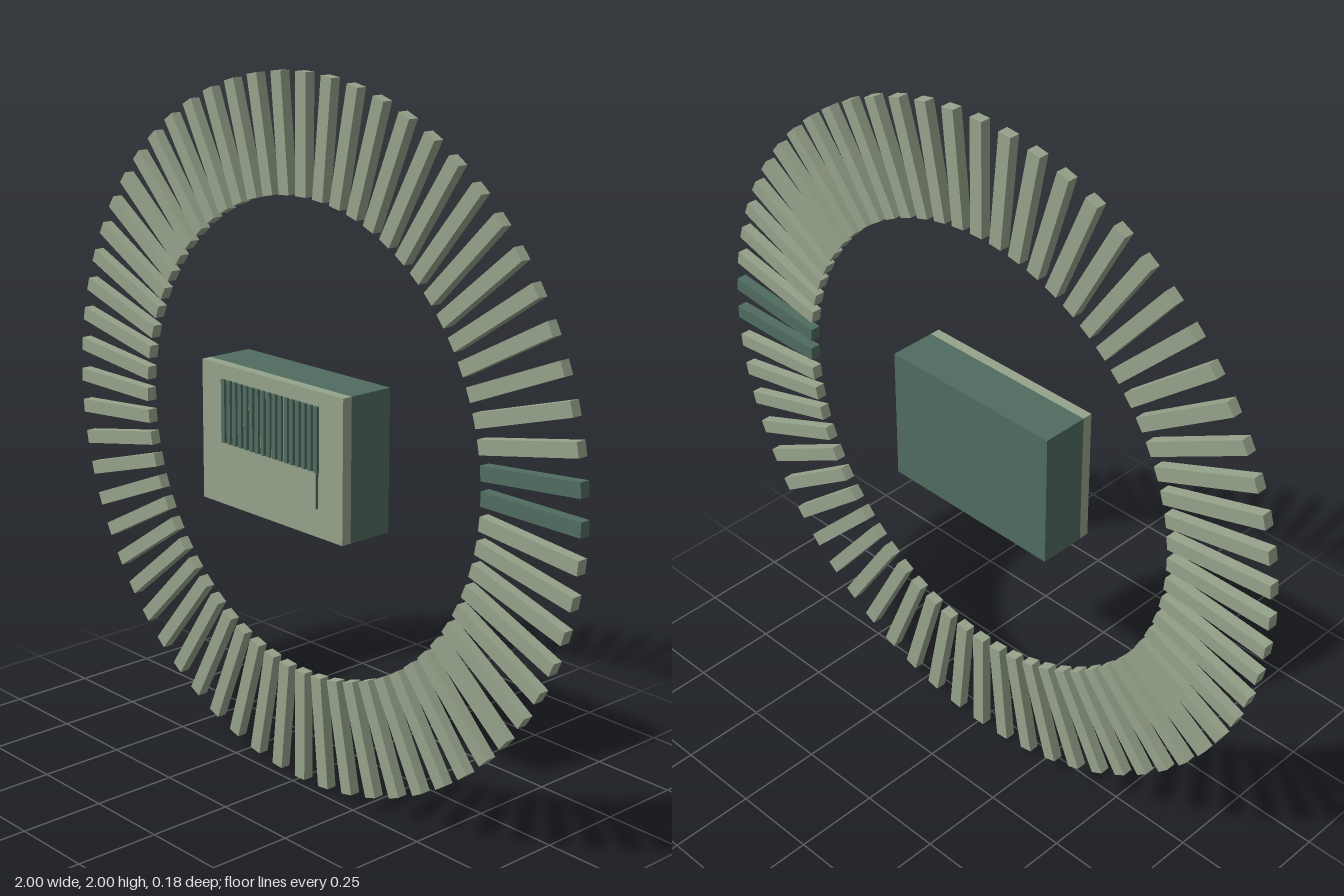
import * as THREE from 'three';

export function createModel() {
  const model = new THREE.Group();
  const sage = new THREE.MeshStandardMaterial({ color: 0x96a38b });
  sage.name = 'sage';
  const darkGreen = new THREE.MeshStandardMaterial({ color: 0x506c60 });
  darkGreen.name = 'darkGreen';

  function box(name, material, size, position, parent) {
    const mesh = new THREE.Mesh(new THREE.BoxGeometry(...size), material);
    mesh.name = name;
    mesh.position.set(...position);
    parent.add(mesh);
    return mesh;
  }

  // Ring of radial bars; the first two on the left side are dark
  const ring = new THREE.Group();
  ring.name = 'ring';
  ring.position.set(0, 1, -0.042);
  model.add(ring);
  const count = 64, inner = 0.673, outer = 1;
  for (let i = 0; i < count; i++) {
    const a = (i / count) * Math.PI * 2;
    const r = (inner + outer) / 2;
    const bar = box('ringBar', i < 2 ? darkGreen : sage, [outer - inner, 0.04, 0.031],
      [Math.cos(a) * r, Math.sin(a) * r, 0], ring);
    bar.rotation.z = a;
  }

  // Central block with a lighter front panel
  const unit = new THREE.Group();
  unit.name = 'centralUnit';
  model.add(unit);
  box('housing', darkGreen, [0.57, 0.4, 0.138], [0, 1, -0.019], unit);
  box('frontPanel', sage, [0.57, 0.4, 0.03], [0, 1, 0.065], unit);

  // Row of vertical slats on the panel
  for (let i = 0; i < 17; i++) {
    box('slat', darkGreen, [0.014, 0.18, 0.008], [-0.19 + i * 0.0235, 1.07, 0.084], unit);
  }
  // Thin long fin beside the last slat
  box('fin', darkGreen, [0.002, 0.28, 0.008], [0.19, 1.02, 0.084], unit);

  return model;
}
